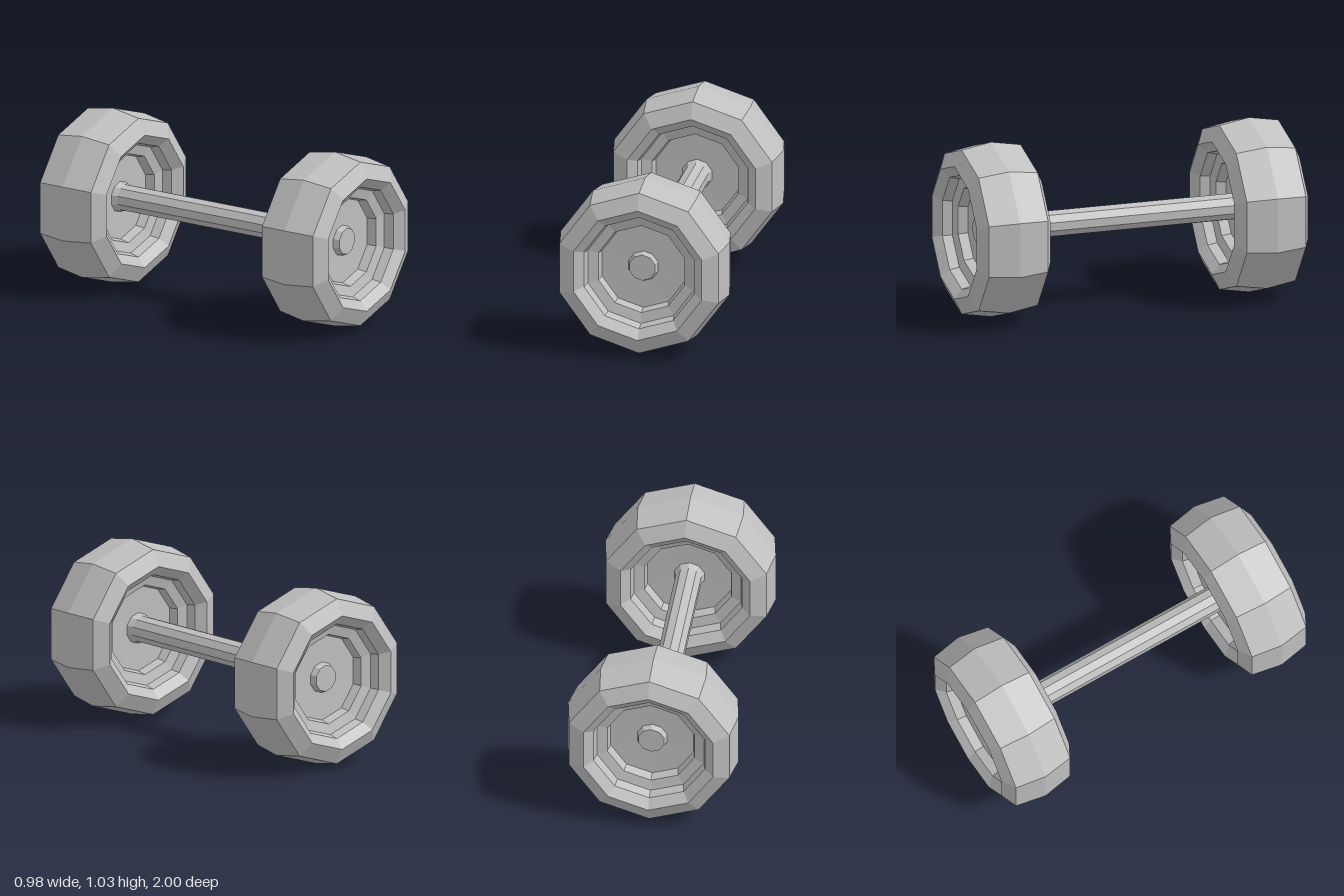
import * as THREE from 'three';

const SIDES = 10;
const CENTER_Y = 0.513;
const PLATE_Z = 0.777;

// Revolve a half profile of [radius, offset], mirrored about its middle, around the z axis
function revolve(half) {
  const back = half.map(([r, d]) => new THREE.Vector2(r, -d));
  const front = half.map(([r, d]) => new THREE.Vector2(r, d)).reverse();
  if (half[half.length - 1][1] === 0) front.shift();
  const geometry = new THREE.LatheGeometry([...back, ...front], SIDES).toNonIndexed();
  geometry.rotateX(Math.PI / 2);
  geometry.computeVertexNormals();
  return geometry;
}

export function createModel() {
  const model = new THREE.Group();
  model.name = 'dumbbell';
  const steel = new THREE.MeshStandardMaterial({ color: 0xc0c0c0, flatShading: true });
  steel.name = 'grey steel';

  // Weight: dished disc, two steps, bevelled rim and slightly crowned tread
  const weightGeometry = revolve([
    [0, 0.048], [0.25, 0.053], [0.262, 0.108], [0.322, 0.123], [0.335, 0.178],
    [0.39, 0.223], [0.482, 0.178], [0.513, 0],
  ]);
  // Hub: tapered collar poking out of both sides of the weight
  const hubGeometry = revolve([[0, 0.085], [0.077, 0.085], [0.093, 0.04], [0.093, 0]]);

  for (const [side, label] of [[1, 'front'], [-1, 'back']]) {
    const end = new THREE.Group();
    end.name = label + 'End';
    end.position.set(0, CENTER_Y, side * PLATE_Z);
    const weight = new THREE.Mesh(weightGeometry, steel);
    weight.name = label + 'Weight';
    const hub = new THREE.Mesh(hubGeometry, steel);
    hub.name = label + 'Hub';
    end.add(weight, hub);
    model.add(end);
  }

  // Handle bar joining the two weights
  const barGeometry = new THREE.CylinderGeometry(0.077, 0.077, PLATE_Z * 2, SIDES, 1, true);
  barGeometry.rotateX(Math.PI / 2);
  const bar = new THREE.Mesh(barGeometry, steel);
  bar.name = 'handleBar';
  bar.position.y = CENTER_Y;
  model.add(bar);

  return model;
}
